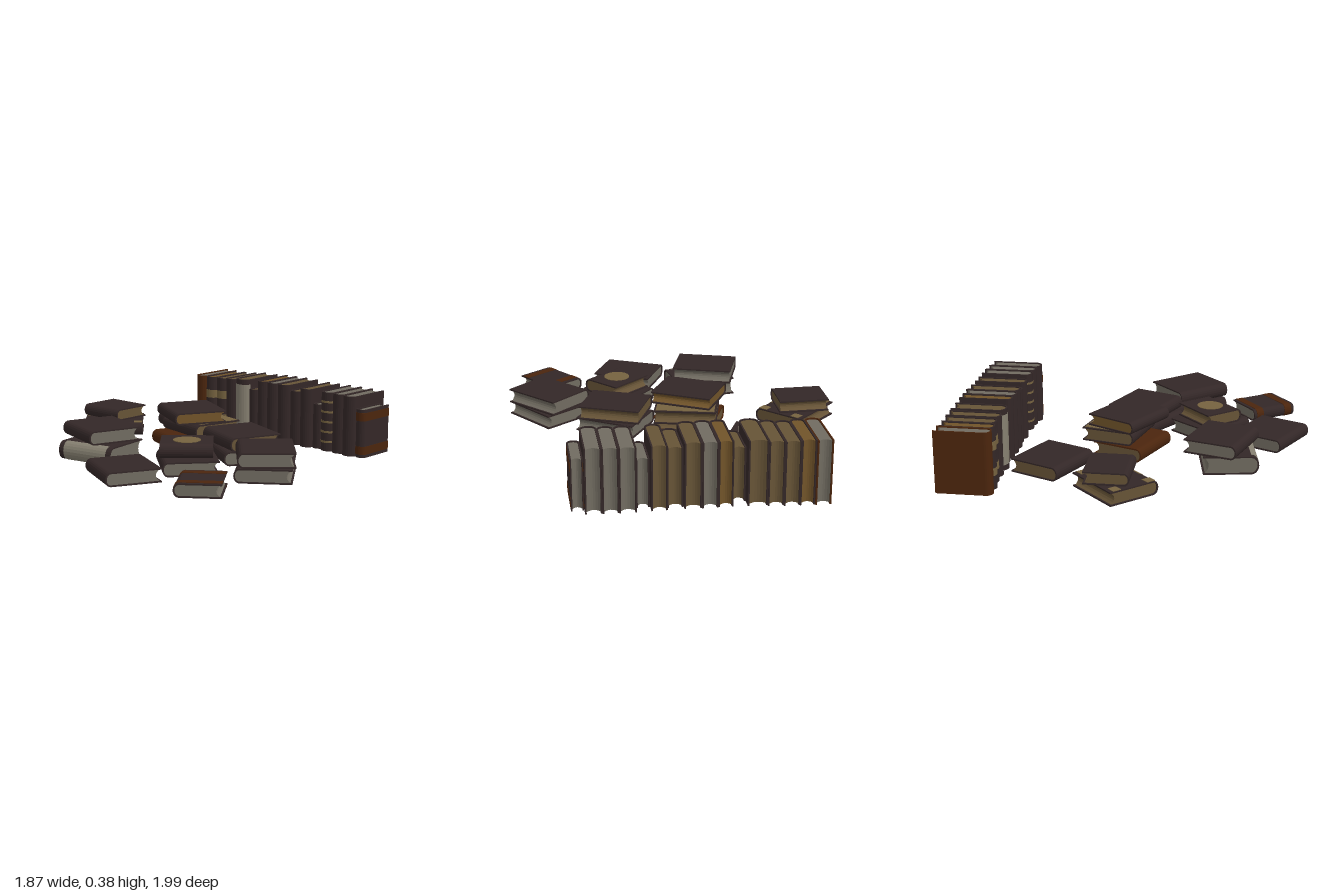
import * as THREE from 'three';

const mat = (name, color) => Object.assign(new THREE.MeshStandardMaterial({ color }), { name });

export function createModel() {
  const dark = mat('dark leather', 0x332727);
  const brown = mat('brown leather', 0x4b250d);
  const grey = mat('grey pages', 0x706b60);
  const tan = mat('tan pages', 0x665336);
  const amber = mat('amber pages', 0x705329);
  const gold = mat('faded gold', 0x75623f);
  const silver = mat('pale spine label', 0x857f70);

  // Cross-section: x is thickness, the rounded spine points to -y
  const arc = (T, base, b, back) => {
    const pts = [];
    for (let i = 0; i <= 10; i++) {
      const a = Math.PI * i / 10;
      pts.push(new THREE.Vector2(-T * Math.cos(a), base - b * Math.sin(a)));
    }
    return back ? pts.reverse() : pts;
  };
  const extrude = (pts, h) => {
    const g = new THREE.ExtrudeGeometry(new THREE.Shape(pts), { depth: h, bevelEnabled: false });
    g.translate(0, 0, -h / 2);
    g.rotateX(-Math.PI / 2);
    return g;
  };
  // Open shell of two boards joined by the spine; end is where the boards stop
  const shell = (T, base, b, end, c, h) => extrude([
    new THREE.Vector2(-T, end), ...arc(T, base, b), new THREE.Vector2(T, end),
    new THREE.Vector2(T - c, end), ...arc(T - c, base, b - c, true), new THREE.Vector2(-T + c, end),
  ], h);

  // One upright book centred on its own middle, spine towards +z
  function book(name, { t, h, d, pages = grey, cover = dark, deco }) {
    const g = new THREE.Group();
    g.name = name;
    const add = (part, geo, m, y = 0) => {
      const mesh = new THREE.Mesh(geo, m);
      mesh.name = part;
      mesh.position.y = y;
      g.add(mesh);
      return mesh;
    };
    const T = t / 2, c = 0.008, b = T * 0.8, base = -d / 2 + b, end = d / 2;
    add('cover', shell(T, base, b, end, c, h), cover);
    // page block with a hollow fore-edge
    const fore = [];
    for (let i = 0; i <= 6; i++) {
      const k = 1 - i / 3;
      fore.push(new THREE.Vector2(k * (T - c), end - 0.01 - 0.02 * (1 - k * k)));
    }
    add('pages', extrude([...arc(T - c, base, b - c), ...fore], h - 0.014), pages);
    const spine = (y, len, m) => add('spineBand', shell(T + 0.002, base, b + 0.002, base + 0.001, 0.004, len), m, y);
    if (deco === 'stripes') {
      for (const s of [-1, 1])
        add('coverStripe', shell(T + 0.002, base, b + 0.002, end, 0.004, h * 0.17), brown, s * h * 0.35);
    }
    if (deco === 'bands') for (let i = -2; i <= 2; i++) spine(i * h * 0.17, 0.012, gold);
    if (deco === 'patches') { spine(h * 0.2, h * 0.14, gold); spine(-h * 0.22, h * 0.12, gold); }
    if (deco === 'label') spine(0, h * 0.82, silver);
    if (deco === 'disc') {
      const disc = add('coverDisc', new THREE.CylinderGeometry(0.075, 0.075, 0.004, 24), gold);
      disc.rotation.z = Math.PI / 2;
      disc.position.set(T + 0.001, 0, 0);
    }
    if (deco === 'panel') {
      for (const s of [-1, 1]) {
        const p = add('coverPanel', new THREE.BoxGeometry(0.004, h * 0.94, (d - b) * 0.92), gold);
        p.position.set(s * (T + 0.001), 0, -b / 2);
      }
    }
    if (deco === 'corners') {
      spine(0, h * 0.3, gold);
      for (const y of [-1, 1]) for (const z of [-1, 1]) {
        const p = add('coverCorner', new THREE.BoxGeometry(0.004, 0.05, 0.05), gold);
        p.position.set(T + 0.001, y * (h / 2 - 0.028), z * (d / 2 - 0.045));
      }
    }
    return g;
  }

  const model = new THREE.Group();
  model.name = 'books';

  // Standing row: left x, right x, back z, spine z, bottom y, top y, pages, extras
  const row = new THREE.Group();
  row.name = 'standingRow';
  model.add(row);
  [
    [-0.672, -0.588, -1.0, -0.685, 0.0, 0.36, grey, { cover: brown }],
    [-0.588, -0.508, -0.99, -0.685, 0.0, 0.36, amber, { deco: 'patches' }],
    [-0.508, -0.423, -0.995, -0.695, 0.005, 0.36, tan, { deco: 'patches' }],
    [-0.423, -0.338, -0.995, -0.69, 0.01, 0.365, tan, {}],
    [-0.338, -0.234, -0.99, -0.68, 0.015, 0.375, tan, { deco: 'label' }],
    [-0.232, -0.16, -0.935, -0.695, 0.02, 0.32, tan, {}],
    [-0.158, -0.08, -0.99, -0.685, 0.02, 0.38, amber, {}],
    [-0.08, 0.004, -0.99, -0.68, 0.02, 0.38, grey, {}],
    [0.004, 0.094, -0.985, -0.68, 0.02, 0.38, tan, {}],
    [0.096, 0.18, -0.96, -0.69, 0.02, 0.35, tan, {}],
    [0.18, 0.264, -0.985, -0.68, 0.02, 0.375, tan, {}],
    [0.266, 0.336, -0.935, -0.70, 0.02, 0.29, grey, {}],
    [0.338, 0.427, -0.985, -0.68, 0.02, 0.375, grey, { deco: 'bands' }],
    [0.427, 0.512, -0.98, -0.675, 0.02, 0.375, grey, {}],
    [0.512, 0.6, -0.97, -0.66, 0.02, 0.375, grey, {}],
    [0.601, 0.668, -0.925, -0.675, 0.02, 0.305, grey, { deco: 'stripes' }],
  ].forEach(([x0, x1, z0, z1, y0, y1, pages, extra], i) => {
    const b = book('standingBook' + (i + 1), { t: x1 - x0, h: y1 - y0, d: z1 - z0, pages, ...extra });
    b.position.set((x0 + x1) / 2, (y0 + y1) / 2, (z0 + z1) / 2);
    row.add(b);
  });

  // Books lying flat: name, x, z, turn, bottom y, top y, pages, extras
  const big = { h: 0.35, d: 0.305 }, small = { h: 0.285, d: 0.245 };
  const lying = new THREE.Group();
  lying.name = 'lyingBooks';
  model.add(lying);
  [
    ['backBook', -0.433, -0.397, -0.425, 0.092, 0.17, tan, big],
    ['rightPileLower', -0.712, -0.005, 0.76, 0.092, 0.17, tan, { ...big, deco: 'corners' }],
    ['rightPileUpper', -0.733, -0.03, 0, 0.18, 0.25, tan, small],
    ['centrePileLower', -0.09, 0.0, -0.38, 0.092, 0.17, tan, { ...big, cover: brown }],
    ['centrePileMiddle', -0.063, -0.08, -0.24, 0.173, 0.25, tan, { ...big, deco: 'panel' }],
    ['centrePileUpper', -0.084, -0.02, -0.5, 0.254, 0.322, amber, big],
    ['leftBackPileLower', 0.335, 0.02, -0.56, 0.092, 0.17, grey, big],
    ['leftBackPileUpper', 0.333, 0.02, -0.39, 0.173, 0.25, tan, big],
    ['discPileLower', 0.29, 0.413, -0.7, 0.092, 0.17, grey, big],
    ['discPileUpper', 0.285, 0.41, 0.72, 0.173, 0.25, tan, { ...small, deco: 'disc' }],
    ['leftPileLower', 0.7, 0.25, -0.95, 0.092, 0.17, grey, big],
    ['leftPileUpper', 0.698, 0.25, -0.83, 0.173, 0.255, grey, big],
    ['frontBook', 0.17, 0.777, -0.45, 0.092, 0.168, grey, big],
    ['stripedBook', 0.66, 0.71, -0.94, 0.092, 0.165, grey, { ...small, deco: 'stripes' }],
    ['frontPileLower', -0.237, 0.555, 0.17, 0.092, 0.195, grey, { ...big, deco: 'label' }],
    ['frontPileUpper', -0.27, 0.52, -0.31, 0.2, 0.278, grey, big],
  ].forEach(([name, x, z, turn, y0, y1, pages, extra]) => {
    const b = book(name, { t: y1 - y0, pages, ...extra });
    b.rotation.set(0, turn, Math.PI / 2);
    b.position.set(x, (y0 + y1) / 2, z);
    lying.add(b);
  });
  return model;
}
